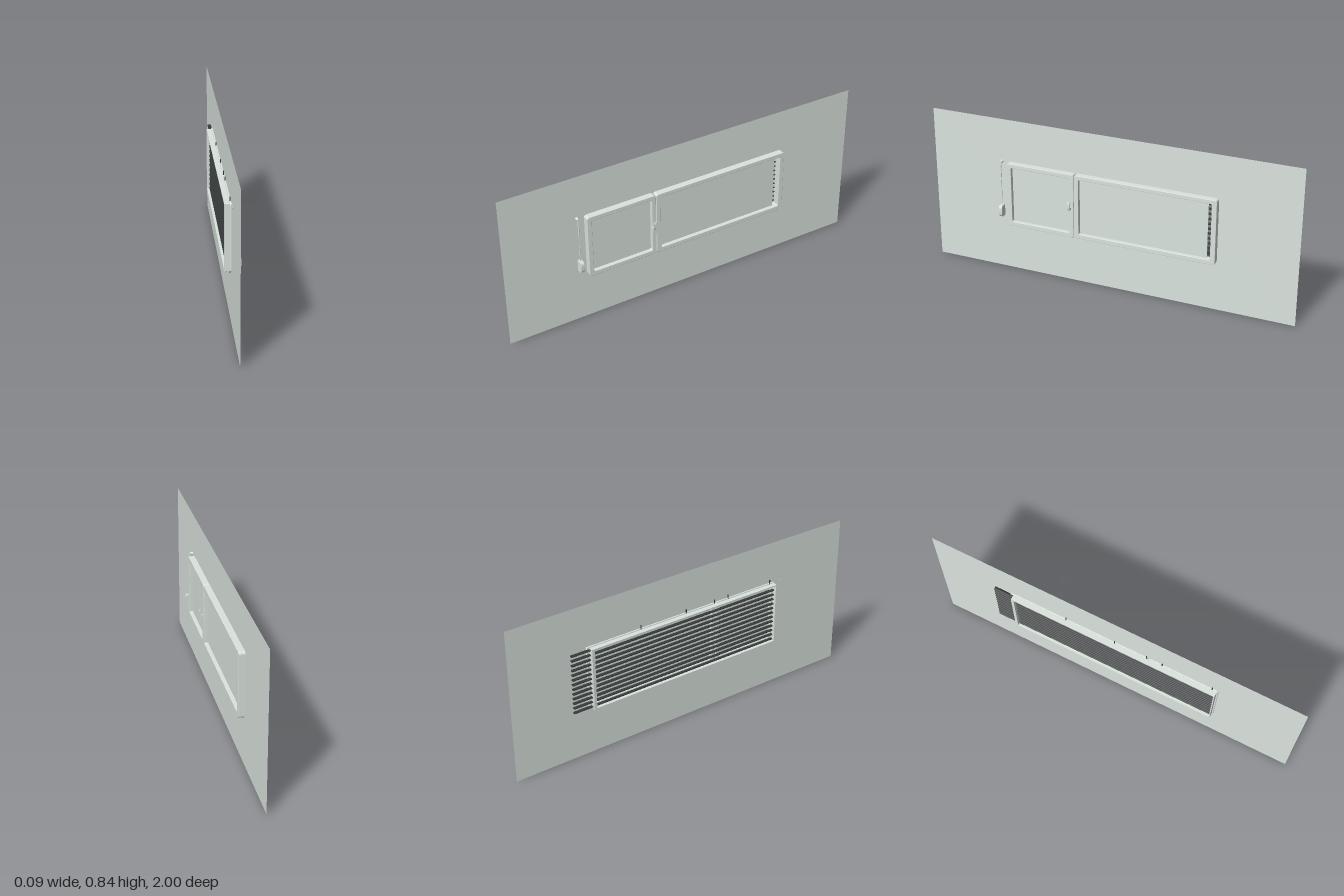
import * as THREE from 'three';

const WALL_X = -0.01;

// Rectangle with slightly rounded corners, in (z, y); shape u runs along -z
function rect(C, z0, z1, y0, y1, r) {
  const a = -z1, b = -z0, s = new C();
  s.moveTo(a + r, y0);
  s.lineTo(b - r, y0);
  s.quadraticCurveTo(b, y0, b, y0 + r);
  s.lineTo(b, y1 - r);
  s.quadraticCurveTo(b, y1, b - r, y1);
  s.lineTo(a + r, y1);
  s.quadraticCurveTo(a, y1, a, y1 - r);
  s.lineTo(a, y0 + r);
  s.quadraticCurveTo(a, y0, a + r, y0);
  return s;
}

// Ring-shaped frame extruded from x0 to x1, with an optional bevel
function ring(outer, inner, r, x0, x1, bevel = 0) {
  const [a, b, c, d] = outer, [e, f, g, h] = inner;
  const s = rect(THREE.Shape, a + bevel, b - bevel, c + bevel, d - bevel, r);
  s.holes.push(rect(THREE.Path, e - bevel, f + bevel, g - bevel, h + bevel, r));
  const geo = new THREE.ExtrudeGeometry(s, {
    depth: x1 - x0 - 2 * bevel, bevelEnabled: bevel > 0, bevelSize: bevel,
    bevelThickness: bevel, bevelSegments: 2, curveSegments: 3,
  });
  return geo.rotateY(Math.PI / 2).translate(x0 + bevel, 0, 0);
}

// Side profile in (x, y), extruded along z and centred on zc
function slab(shape, width, zc) {
  return new THREE.ExtrudeGeometry(shape, { depth: width, bevelEnabled: false, curveSegments: 6 })
    .translate(0, 0, zc - width / 2);
}

export function createModel() {
  const group = new THREE.Group();
  const paint = new THREE.MeshStandardMaterial({ color: 0xdbe4de, side: THREE.DoubleSide });
  paint.name = 'paleGreyGreen';
  const dark = new THREE.MeshStandardMaterial({ color: 0x383b3c });
  dark.name = 'darkGrey';
  const add = (name, geo, material = paint) => {
    const m = new THREE.Mesh(geo, material);
    m.name = name;
    group.add(m);
  };

  // Wall sheet with a cut-out for the window
  const wall = rect(THREE.Shape, -1, 1, 0, 0.84, 0);
  wall.holes.push(rect(THREE.Path, -0.563, 0.553, 0.267, 0.605, 0));
  add('wall', new THREE.ShapeGeometry(wall).rotateY(Math.PI / 2).translate(WALL_X, 0, 0));

  // Two front frames side by side
  add('smallFrame', ring([0.183, 0.563, 0.262, 0.612], [0.206, 0.538, 0.286, 0.59], 0.011, -0.017, 0.023, 0.002));
  add('largeFrame', ring([-0.583, 0.181, 0.262, 0.612], [-0.557, 0.156, 0.286, 0.59], 0.011, -0.017, 0.023, 0.002));

  // Panes; the large one stops short and leaves a vent slit
  [['smallPane', 0.203, 0.541], ['largePane', -0.535, 0.159]].forEach(([name, z0, z1]) => {
    add(name, new THREE.BoxGeometry(0.003, 0.309, z1 - z0).translate(0.001, 0.438, (z0 + z1) / 2));
  });

  // Open rear box
  add('rearBox', ring([-0.566, 0.556, 0.265, 0.607], [-0.551, 0.55, 0.271, 0.601], 0.001, -0.043, -0.016));

  // Horizontal louvre slats running past the end of the box
  for (let i = 0; i < 13; i++) {
    const slat = new THREE.CylinderGeometry(1, 1, 1.22, 8);
    slat.rotateX(Math.PI / 2).scale(0.0095, 0.0048, 1);
    add('slat', slat.translate(-0.021, 0.276 + i * 0.0267, -0.06), dark);
  }

  // Fixing pins along the top and bottom
  for (const z of [-0.27, 0, 0.174, 0.26, 0.53]) {
    for (const y of [0.617, 0.263]) {
      add('fixingPin', new THREE.CylinderGeometry(0.003, 0.003, 0.026, 8).translate(-0.0145, y, z), dark);
    }
  }

  // Window catch: small foot with a tapering upturned lever
  const catchSide = new THREE.Shape();
  catchSide.moveTo(0.023, 0.434);
  catchSide.lineTo(0.027, 0.422);
  catchSide.lineTo(0.036, 0.42);
  catchSide.quadraticCurveTo(0.042, 0.422, 0.042, 0.44);
  catchSide.lineTo(0.042, 0.456);
  catchSide.lineTo(0.038, 0.469);
  catchSide.quadraticCurveTo(0.036, 0.434, 0.028, 0.432);
  add('catchLever', slab(catchSide, 0.013, 0.202));

  // Pull rod hanging from a pivot that passes through the wall
  const rodZ = 0.603;
  add('rodPivot', new THREE.CylinderGeometry(0.004, 0.009, 0.021, 12)
    .rotateZ(-Math.PI / 2).translate(-0.002, 0.608, rodZ));
  const rod = new THREE.CatmullRomCurve3([
    new THREE.Vector3(0.006, 0.607, rodZ), new THREE.Vector3(0.008, 0.53, rodZ),
    new THREE.Vector3(0.007, 0.45, rodZ), new THREE.Vector3(0.008, 0.36, rodZ),
  ]);
  add('pullRod', new THREE.TubeGeometry(rod, 16, 0.0022, 8));
  add('rodSleeve', new THREE.CylinderGeometry(0.0035, 0.0035, 0.07, 8).translate(0.0075, 0.56, rodZ));

  // D-shaped handle
  const grip = new THREE.Shape();
  grip.moveTo(-0.006, 0.304);
  grip.lineTo(0.014, 0.304);
  grip.quadraticCurveTo(0.032, 0.304, 0.032, 0.326);
  grip.lineTo(0.032, 0.344);
  grip.quadraticCurveTo(0.032, 0.366, 0.02, 0.366);
  grip.lineTo(-0.006, 0.366);
  add('rodHandle', slab(grip, 0.018, rodZ));

  return group;
}
